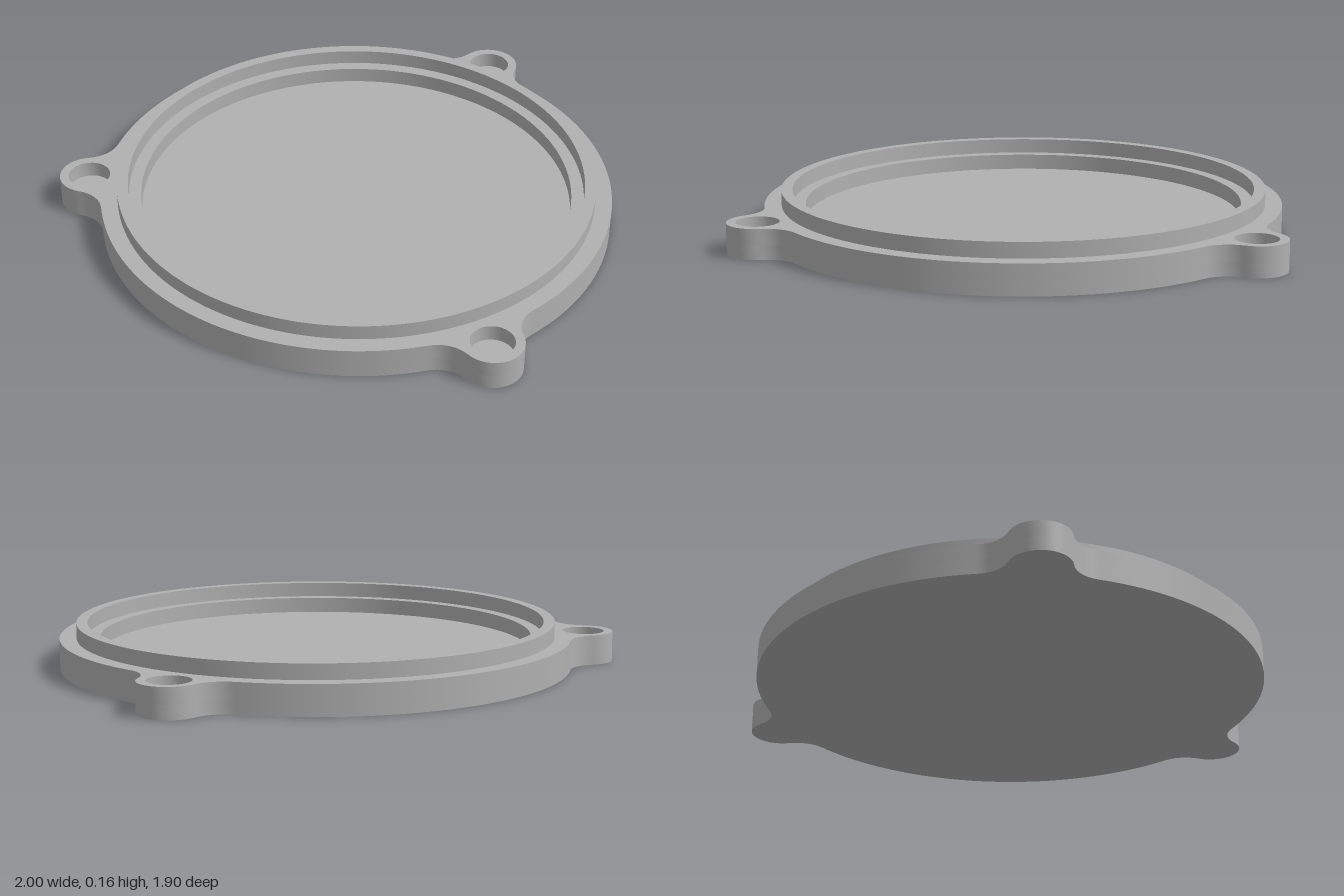
import * as THREE from 'three';
import { toCreasedNormals } from 'three/addons/utils/BufferGeometryUtils.js';

const CX = 0.08;          // disc centre along x
const DISC = 0.92, LUG = 0.107, FILLET = 0.12, LUG_DIST = 0.973, HOLE = 0.075;
const FLOOR = 0.05, PLATE = 0.107, TOP = 0.161;
const LUG_ANGLES = [60, 180, 300].map(THREE.MathUtils.degToRad);

const polar = (r, a) => new THREE.Vector2(CX + r * Math.cos(a), r * Math.sin(a));

// Points along an arc, without the last one
function arc(c, r, a0, a1, n) {
  return Array.from({ length: n }, (_, i) => {
    const a = a0 + (a1 - a0) * i / n;
    return new THREE.Vector2(c.x + r * Math.cos(a), c.y + r * Math.sin(a));
  });
}
const circle = (c, r, n) => arc(c, r, 0, Math.PI * 2, n);

// Disc outline with three lugs blended in by fillets
function outline() {
  const rf = DISC + FILLET, d = LUG + FILLET;
  const half = Math.acos((rf * rf + LUG_DIST ** 2 - d * d) / (2 * rf * LUG_DIST));
  const bend = Math.acos((rf * rf + d * d - LUG_DIST ** 2) / (2 * rf * d));
  const pts = [];
  for (const t of LUG_ANGLES) {
    const lug = polar(LUG_DIST, t);
    const f1 = polar(rf, t - half), f2 = polar(rf, t + half);
    const start = t - half + Math.PI, end = t + half + Math.PI;
    // direction from the lug centre to the first fillet, relative to t
    const side = half + bend;
    pts.push(...arc(polar(0, 0), DISC, t - Math.PI * 2 / 3 + half, t - half, 48));
    pts.push(...arc(f1, FILLET, start, start - bend, 8));
    pts.push(...arc(lug, LUG, t - side, t + side, 16));
    pts.push(...arc(f2, FILLET, end + bend, end, 8));
  }
  return pts;
}

// Upright slab from y0 to y1
function slab(name, points, holes, y0, y1, material) {
  const shape = new THREE.Shape(points);
  shape.holes = holes.map(h => new THREE.Path(h));
  const geo = new THREE.ExtrudeGeometry(shape, { depth: y1 - y0, bevelEnabled: false });
  geo.rotateX(-Math.PI / 2).translate(0, y0, 0);
  const mesh = new THREE.Mesh(toCreasedNormals(geo, Math.PI / 5), material);
  mesh.name = name;
  return mesh;
}

export function createModel() {
  const group = new THREE.Group();
  group.name = 'coverPlate';
  const grey = new THREE.MeshStandardMaterial({ color: 0xb0b0b0 });
  grey.name = 'grey';

  const centre = polar(0, 0);
  const edge = outline();
  const lugHoles = LUG_ANGLES.map(t => circle(polar(LUG_DIST, t), HOLE, 32));

  // Solid bottom, recessed upper plate with blind lug holes, and raised rim
  group.add(slab('base', edge, [], 0, FLOOR, grey));
  group.add(slab('upperPlate', edge, [circle(centre, 0.775, 144), ...lugHoles], FLOOR, PLATE, grey));
  group.add(slab('raisedRim', circle(centre, 0.86, 144), [circle(centre, 0.82, 144)], PLATE, TOP, grey));
  return group;
}
